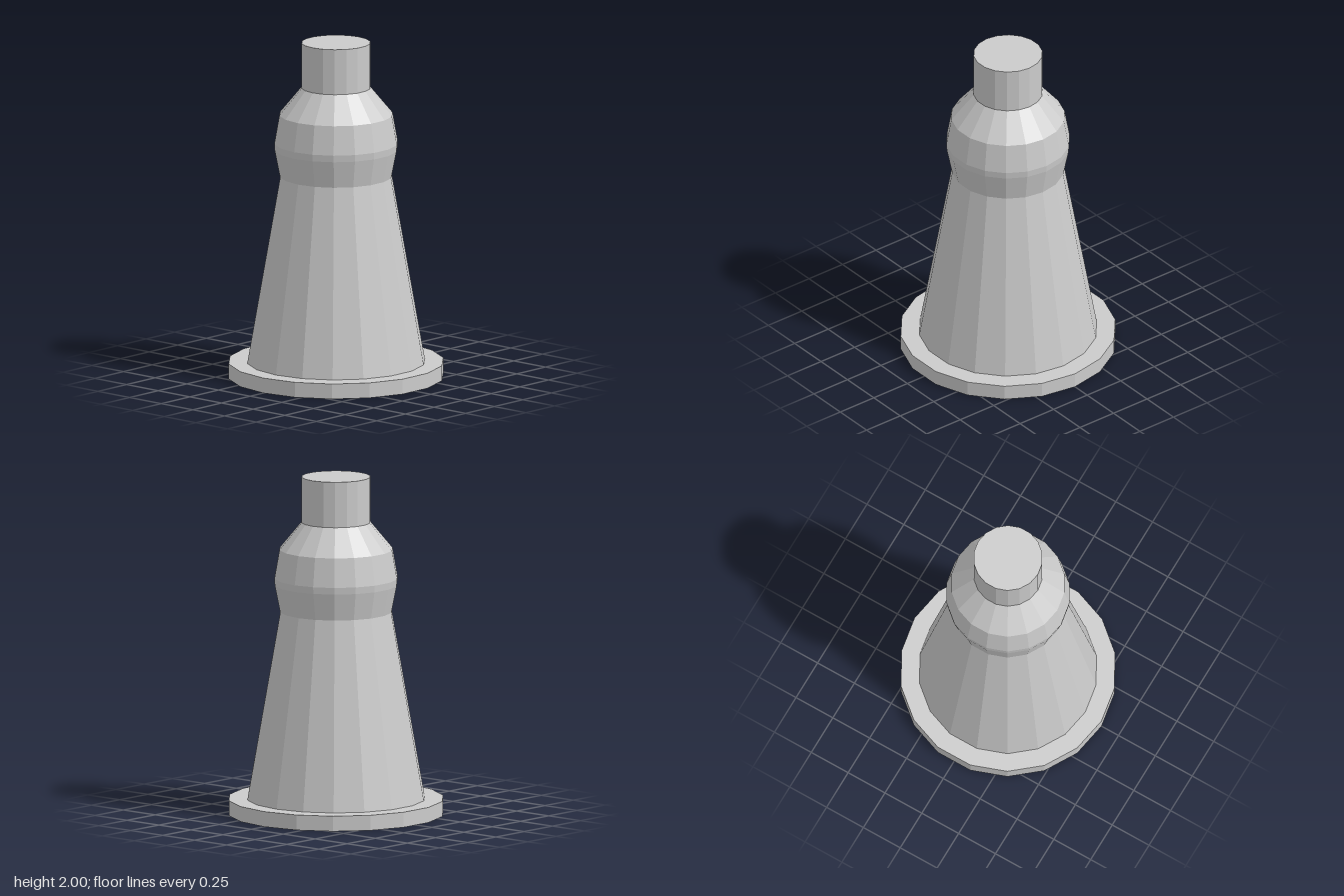
import * as THREE from 'three';

const SIDES = 18;

export function createModel() {
  const model = new THREE.Group();
  const material = new THREE.MeshStandardMaterial({ color: 0xcccccc, flatShading: true });

  // Faceted solid of revolution from a bottom-to-top [radius, height] profile
  const addTurned = (name, profile) => {
    const points = profile.map(([r, y]) => new THREE.Vector2(r, y));
    const mesh = new THREE.Mesh(new THREE.LatheGeometry(points, SIDES), material);
    mesh.name = name;
    model.add(mesh);
  };

  // Flat foot disc
  addTurned('baseFlange', [[0, 0], [0.635, 0], [0.635, 0.09], [0, 0.09]]);
  // Tapering main body
  addTurned('taperedBody', [[0.525, 0.09], [0.33, 1.2]]);
  // Bulging collar that closes in to the neck
  addTurned('shoulder', [[0.33, 1.2], [0.362, 1.36], [0.365, 1.4], [0.335, 1.57], [0.203, 1.73]]);
  // Straight neck with a closed top
  addTurned('neck', [[0.203, 1.73], [0.203, 2], [0, 2]]);

  return model;
}
